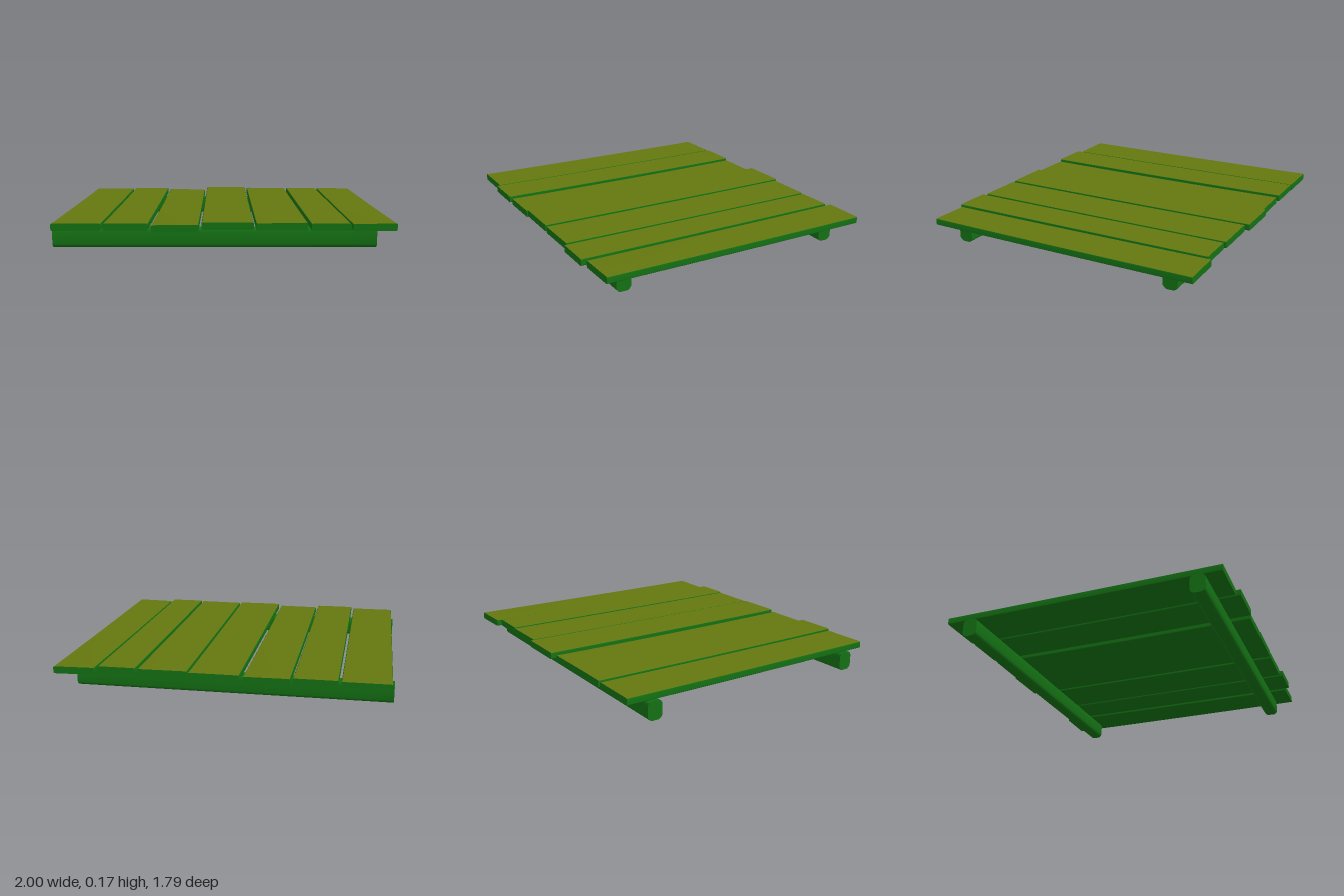
import * as THREE from 'three';

const green = new THREE.MeshStandardMaterial({ color: 0x147014 });
const olive = new THREE.MeshStandardMaterial({ color: 0x64760f });

// Bar with chamfered long edges, bent by sag and twist along z
function bar(w, h, d, bevel, sag = 0, twist = 0) {
  const geo = new THREE.BoxGeometry(w, h, d, 3, 3, 12);
  const p = geo.attributes.position;
  const snap = (v, half) => Math.abs(v) > half * 0.9 ? v : Math.sign(v) * (half - bevel);
  for (let i = 0; i < p.count; i++) {
    let x = snap(p.getX(i), w / 2);
    let y = snap(p.getY(i), h / 2);
    if (Math.abs(x) > w / 2 - bevel / 2 && Math.abs(y) > h / 2 - bevel / 2) {
      x -= Math.sign(x) * bevel * 0.4;
      y -= Math.sign(y) * bevel * 0.4;
    }
    const t = p.getZ(i) / (d / 2);
    y += -sag * (1 - t * t) + twist * t * x / (w / 2);
    p.setXY(i, x, y);
  }
  geo.computeVertexNormals();
  return geo;
}

export function createModel() {
  const group = new THREE.Group();

  // Two support beams running across under the planks
  for (const [side, name] of [[1, 'frontBeam'], [-1, 'backBeam']]) {
    const beam = new THREE.Mesh(bar(0.092, 0.115, 1.905, 0.022), green);
    beam.name = name;
    beam.rotation.y = Math.PI / 2;
    beam.position.set(-0.0475, 0.0575, side * 0.715);
    group.add(beam);
  }

  // Planks: x min, x max, z back, z front, y bottom, sag, twist
  const planks = [
    [-0.988, -0.703, -0.882, 0.856, 0.115, 0.002, 0],
    [-0.686, -0.429, -0.882, 0.882, 0.119, 0.003, 0],
    [-0.412, -0.140, -0.871, 0.871, 0.109, 0.005, 0.001],
    [-0.122, 0.177, -0.897, 0.871, 0.123, 0.002, 0],
    [0.191, 0.488, -0.871, 0.871, 0.120, 0.002, 0.001],
    [0.505, 0.733, -0.863, 0.890, 0.120, 0.001, 0],
    [0.748, 1.0, -0.890, 0.862, 0.115, 0.002, 0.002],
  ];
  planks.forEach(([x0, x1, z0, z1, y, sag, twist], i) => {
    const geo = bar(x1 - x0, 0.043, z1 - z0, 0.006, sag, twist);
    const plank = new THREE.Mesh(geo, [green, green, olive, green, green, green]);
    plank.name = `plank${i + 1}`;
    plank.position.set((x0 + x1) / 2, y + 0.0215, (z0 + z1) / 2);
    group.add(plank);
  });

  return group;
}
